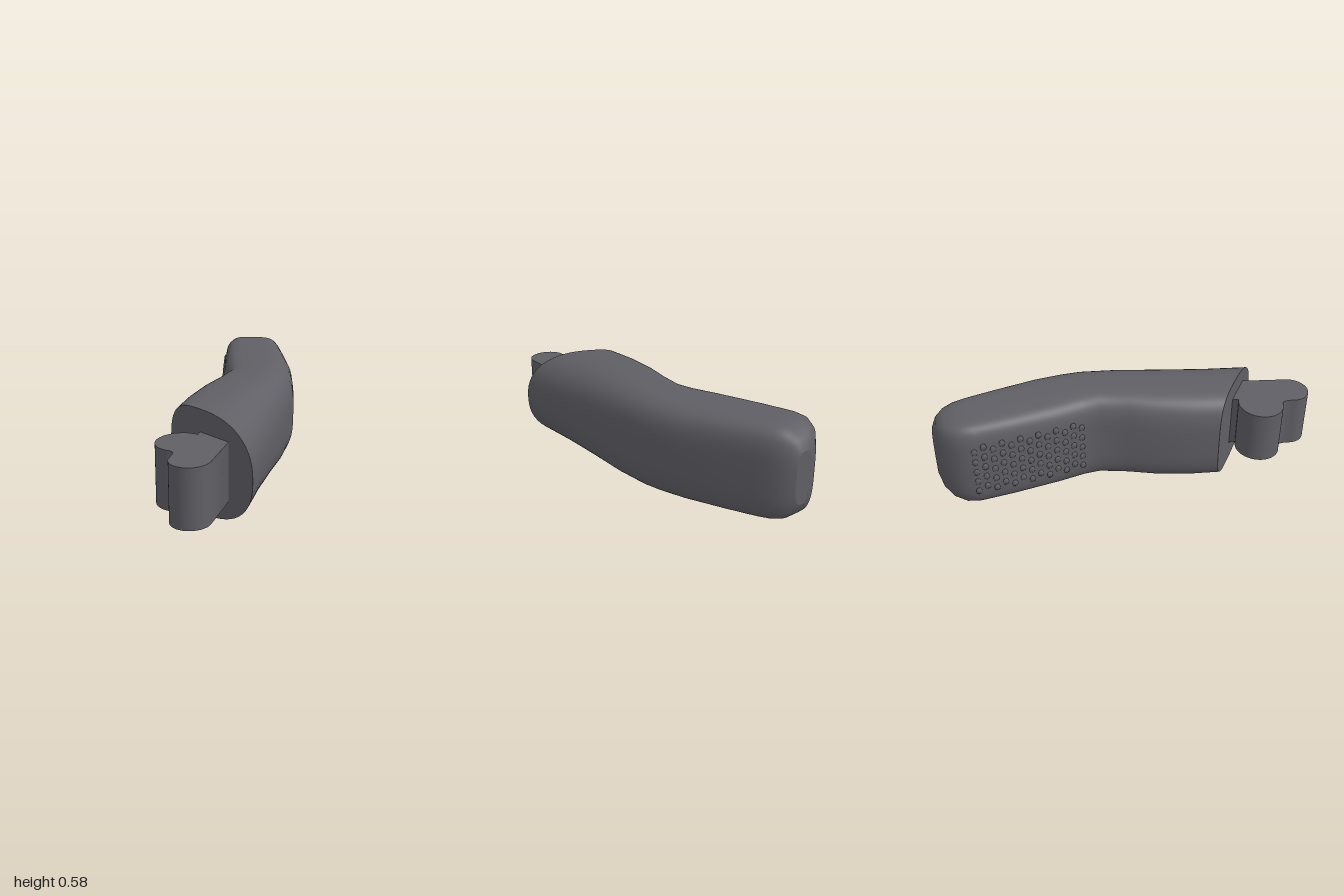
import * as THREE from 'three';
import { mergeGeometries } from 'three/addons/utils/BufferGeometryUtils.js';

const SEG = 56;
const slope = (z) => 0.303 - 0.052 * z; // centre height along the tilted handle

// Stations from front to rear: left x, z, right x, z, half height, left and right squareness
const STATIONS = [
  [-0.16, 0.47, 0.355, 0.725, 0.262, 3.5, 2.4],
  [-0.17, 0.32, 0.325, 0.47, 0.264, 3.5, 2.5],
  [-0.16, 0.13, 0.30, 0.2, 0.264, 3.6, 2.7],
  [-0.135, 0, 0.28, -0.05, 0.262, 3.8, 3],
  [-0.122, -0.14, 0.25, -0.26, 0.259, 4, 3.2],
  [-0.145, -0.23, 0.22, -0.36, 0.257, 4.3, 3.4],
  [-0.2, -0.36, 0.17, -0.5, 0.255, 4.6, 3.6],
  [-0.285, -0.6, 0.07, -0.7, 0.252, 5, 4],
  [-0.34, -0.77, 0, -0.845, 0.25, 5, 4],
  [-0.35, -0.84, -0.03, -0.9, 0.245, 4.6, 4],
  [-0.325, -0.91, -0.06, -0.945, 0.23, 4, 3.6],
  [-0.28, -0.96, -0.095, -0.98, 0.195, 3.5, 3.2],
  [-0.225, -0.99, -0.13, -0.998, 0.14, 3, 3],
];

// One closed cross-section, square on the left and rounder on the right
function ring([lx, lz, rx, rz, h, nl, nr], split) {
  const pts = [];
  for (let j = 0; j < SEG; j++) {
    const a = (j / SEG) * Math.PI * 2, c = Math.cos(a), s = Math.sin(a);
    const n = c < 0 ? nl : nr;
    const px = Math.sign(c) * Math.abs(c) ** (2 / n);
    const py = Math.sign(s) * Math.abs(s) ** (2 / n);
    const u = split + px * (c < 0 ? split : 1 - split);
    const z = lz + (rz - lz) * u;
    pts.push([lx + (rx - lx) * u, slope(z) + py * h, z]);
  }
  return pts;
}

function makeGeometry(points, index) {
  const g = new THREE.BufferGeometry();
  g.setAttribute('position', new THREE.Float32BufferAttribute(points.flat(), 3));
  g.setIndex(index);
  g.computeVertexNormals();
  return g;
}

// Fan that closes a ring
function capGeometry(pts, front) {
  const centre = [0, 1, 2].map((k) => pts.reduce((t, p) => t + p[k], 0) / SEG);
  const index = [];
  for (let j = 0; j < SEG; j++) {
    const k = (j + 1) % SEG;
    index.push(SEG, front ? j : k, front ? k : j);
  }
  return makeGeometry([...pts, centre], index);
}

export function createModel() {
  const group = new THREE.Group();
  const darkGrey = new THREE.MeshStandardMaterial({ color: 0x605f65 });
  darkGrey.name = 'darkGrey';
  const add = (name, geometry) => {
    const mesh = new THREE.Mesh(geometry, darkGrey);
    mesh.name = name;
    group.add(mesh);
  };

  // Bent handle body lofted through the stations
  const rings = STATIONS.map((s, i) => ring(s, 0.37 + 0.12 * Math.min(1, i / 7)));
  const index = [];
  for (let i = 0; i < rings.length - 1; i++) {
    for (let j = 0; j < SEG; j++) {
      const a = i * SEG + j, b = i * SEG + (j + 1) % SEG;
      index.push(a, a + SEG, b, b, a + SEG, b + SEG);
    }
  }
  add('handleBody', makeGeometry(rings.flat(), index));
  add('frontFace', capGeometry(rings[0], true));
  add('rearFace', capGeometry(rings[rings.length - 1], false));

  // Connector with two round lobes, drawn in plan as (x, -z)
  const plan = new THREE.Shape();
  plan.moveTo(0.03, -0.5);
  plan.lineTo(0.205, -0.5);
  plan.lineTo(0.222, -0.9);
  plan.absarc(0.125, -0.903, 0.097, 0, -Math.PI, true);
  plan.quadraticCurveTo(0.025, -0.845, 0.005, -0.835);
  plan.absarc(0, -0.715, 0.12, -Math.PI / 2, -Math.PI * 1.6, true);
  plan.lineTo(0.03, -0.5);
  const connector = new THREE.ExtrudeGeometry(plan, { depth: 0.292, bevelEnabled: false, curveSegments: 20 });
  connector.rotateX(-Math.PI / 2);
  const pos = connector.attributes.position;
  for (let i = 0; i < pos.count; i++) {
    pos.setY(i, pos.getY(i) - 0.146 + slope(pos.getZ(i)) + 0.003);
  }
  connector.computeVertexNormals();
  // Smooth the curved walls while keeping the rims sharp
  const sums = new Map(), normal = connector.attributes.normal;
  const key = (i) => [pos.getX(i), pos.getZ(i)].map((v) => v.toFixed(4)).join();
  const isWall = (i) => Math.abs(normal.getY(i)) < 0.5;
  for (let i = 0; i < pos.count; i++) {
    if (!isWall(i)) continue;
    if (!sums.has(key(i))) sums.set(key(i), new THREE.Vector3());
    sums.get(key(i)).add(new THREE.Vector3().fromBufferAttribute(normal, i));
  }
  for (let i = 0; i < pos.count; i++) {
    if (!isWall(i)) continue;
    const n = sums.get(key(i)).clone().normalize();
    normal.setXYZ(i, n.x, n.y, n.z);
  }
  add('connector', connector);

  // Staggered grip bumps along the rear of the right-hand side
  const edge = STATIONS.slice(5, 10).map(([x, z]) => new THREE.Vector3(x, 0, z));
  const path = new THREE.CatmullRomCurve3(edge);
  const bumps = [];
  for (let col = 0; col < 13; col++) {
    for (let row = 0; row < 5; row++) {
      const t = 0.03 + (col / 13) * 0.95;
      const p = path.getPointAt(t), d = path.getTangentAt(t);
      const bump = new THREE.SphereGeometry(1, 6, 4);
      bump.scale(0.008, 0.021, 0.018);
      bump.rotateY(Math.atan2(d.x, d.z));
      const y = slope(p.z) - 0.135 + row * 0.062 + (col % 2) * 0.025;
      bump.translate(p.x + 0.002, y, p.z);
      bumps.push(bump);
    }
  }
  add('gripBumps', mergeGeometries(bumps));

  return group;
}
